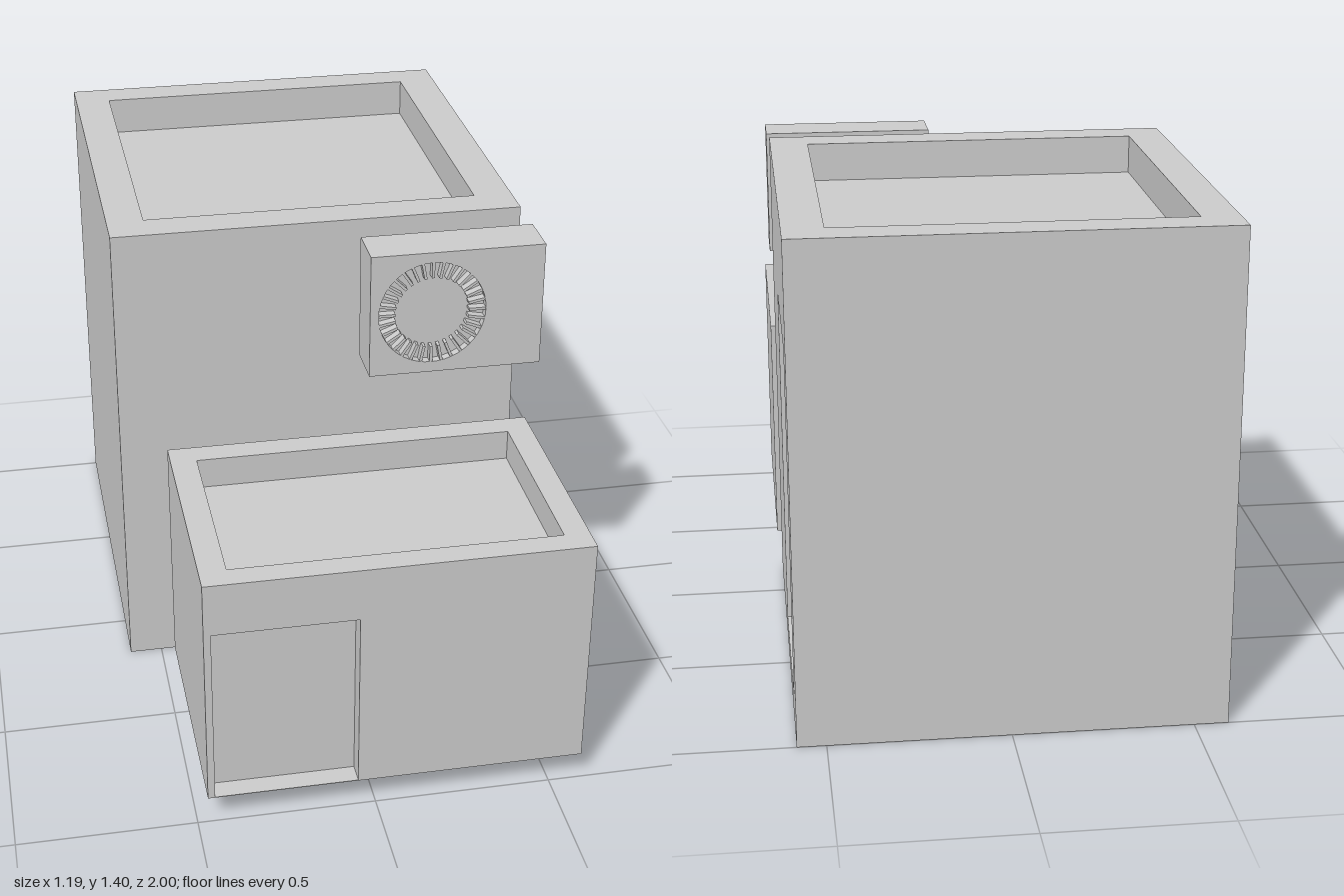
import * as THREE from 'three';
import { mergeGeometries } from 'three/addons/utils/BufferGeometryUtils.js';

const material = new THREE.MeshStandardMaterial({ color: 0xcccccc });

// Counter-clockwise outlines
const rect = (x0, x1, y0, y1) => [[x0, y0], [x1, y0], [x1, y1], [x0, y1]].map(([x, y]) => new THREE.Vector2(x, y));
const circle = (cx, cy, r, n) => Array.from({ length: n }, (_, i) => {
  const a = (i / n) * Math.PI * 2;
  return new THREE.Vector2(cx + r * Math.cos(a), cy + r * Math.sin(a));
});

// Flat panel facing +z, optionally with a recess (hole edge walls plus floor)
function panel(outline, recess) {
  const shape = new THREE.Shape(outline);
  const parts = [];
  if (recess) {
    const { points, depth } = recess;
    shape.holes.push(new THREE.Path(points));
    parts.push(new THREE.ShapeGeometry(new THREE.Shape(points)).translate(0, 0, -depth).toNonIndexed());
    const pos = [];
    points.forEach((a, i) => {
      const b = points[(i + 1) % points.length];
      pos.push(a.x, a.y, 0, b.x, b.y, -depth, a.x, a.y, -depth);
      pos.push(a.x, a.y, 0, b.x, b.y, 0, b.x, b.y, -depth);
    });
    const walls = new THREE.BufferGeometry();
    walls.setAttribute('position', new THREE.Float32BufferAttribute(pos, 3));
    parts.push(walls);
  }
  parts.push(new THREE.ShapeGeometry(shape).toNonIndexed());
  parts.forEach((g) => { g.deleteAttribute('uv'); g.computeVertexNormals(); });
  return mergeGeometries(parts);
}

// Box made of six panels; front, side (+x) and top may carry a recess
function block(name, [x0, x1], [y0, y1], [z0, z1], { front, side, top } = {}) {
  const H = Math.PI / 2;
  const mesh = new THREE.Mesh(mergeGeometries([
    panel(rect(x0, x1, y0, y1), front).translate(0, 0, z1),
    panel(rect(-x1, -x0, y0, y1)).rotateY(Math.PI).translate(0, 0, z0),
    panel(rect(-z1, -z0, y0, y1), side).rotateY(H).translate(x1, 0, 0),
    panel(rect(z0, z1, y0, y1)).rotateY(-H).translate(x0, 0, 0),
    panel(rect(x0, x1, -z1, -z0), top).rotateX(-H).translate(0, y1, 0),
    panel(rect(x0, x1, z0, z1)).rotateX(H).translate(0, y0, 0),
  ]), material);
  mesh.name = name;
  return mesh;
}

export function createModel() {
  const model = new THREE.Group();
  model.name = 'building';

  // Tall block with sunken roof and deep doorway in its side
  model.add(block('tower', [-0.595, 0.58], [0, 1.4], [-1, 0.17], {
    top: { points: rect(-0.49, 0.47, -0.065, 0.9), depth: 0.11 },
    side: { points: rect(0.34, 0.85, 0.07, 1.07), depth: 0.18 },
  }));

  // Low block with sunken roof and shallow doorway at its front
  model.add(block('annex', [-0.47, 0.592], [0.08, 0.775], [0.285, 1], {
    top: { points: rect(-0.395, 0.52, -0.93, -0.36), depth: 0.09 },
    front: { points: rect(-0.45, -0.05, 0.082, 0.62), depth: 0.06 },
  }));

  // Air conditioner: casing with a round fan recess and radial fins
  const airConditioner = new THREE.Group();
  airConditioner.name = 'airConditioner';
  const cx = 0.27, cy = 1.207, zFront = 0.408, depth = 0.025, radius = 0.153;
  airConditioner.add(block('casing', [0.093, 0.587], [1.023, 1.39], [0.27, zFront], {
    front: { points: circle(cx, cy, radius, 48), depth },
  }));
  const fins = [];
  const count = 32;
  for (let i = 0; i < count; i++) {
    fins.push(new THREE.BoxGeometry(0.047, 0.008, depth)
      .translate(radius - 0.024, 0, 0)
      .rotateZ((i / count) * Math.PI * 2)
      .translate(cx, cy, zFront - depth / 2 - 0.001));
  }
  const fan = new THREE.Mesh(mergeGeometries(fins), material);
  fan.name = 'fanFins';
  airConditioner.add(fan);
  model.add(airConditioner);

  return model;
}
